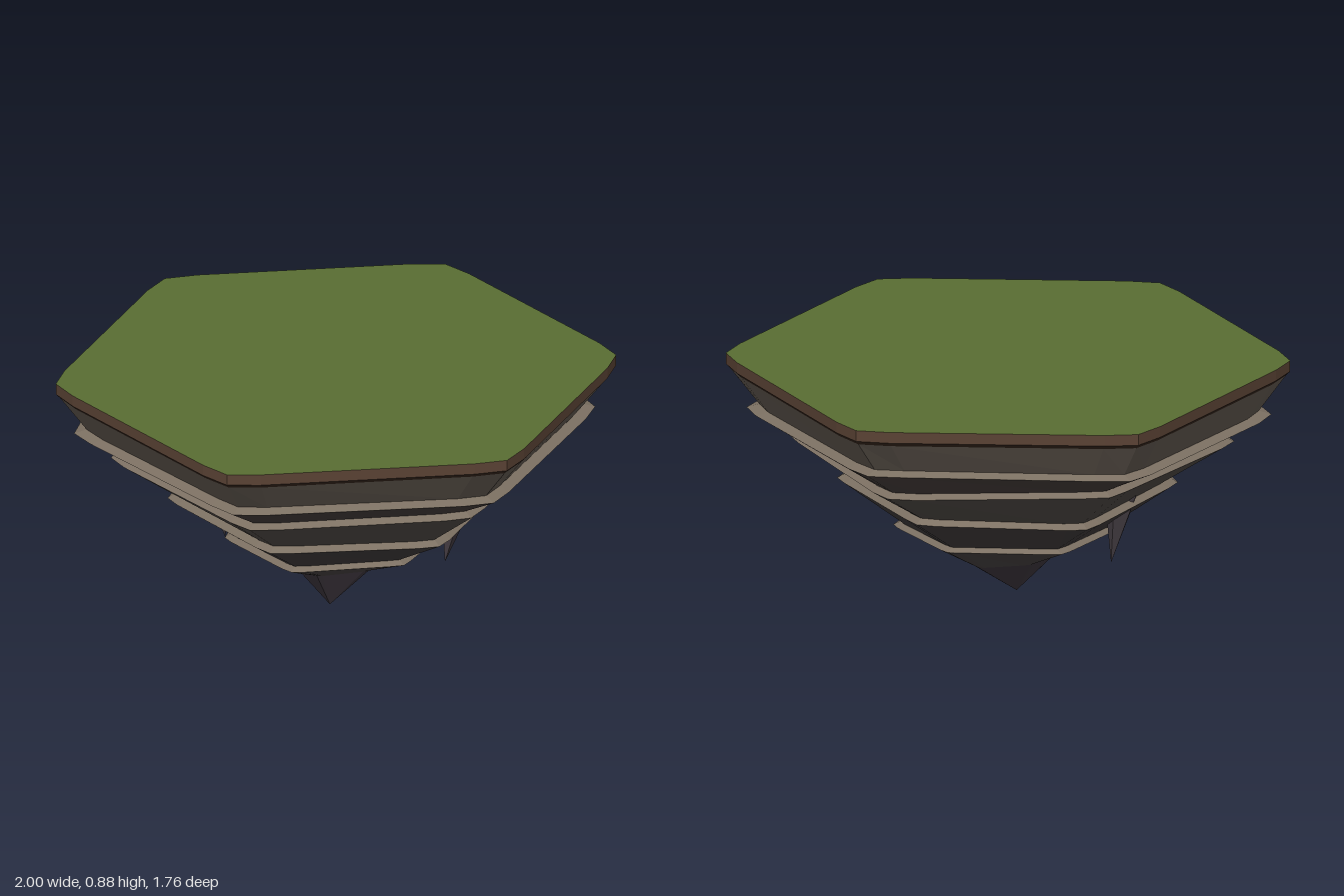
import * as THREE from 'three';

// Hexagon outline with softened corners: three points per corner.
const OUTLINE = [];
for (let k = 0; k < 6; k++) {
  for (const [r, a] of [[0.961, -0.115], [1, 0], [0.961, 0.115]]) {
    OUTLINE.push([r, a + k * Math.PI / 3]);
  }
}

// One ring of points; wobble gives weathered rock a gentle irregularity.
function ring(radius, y, dx = 0, dz = 0, wobble = 0, phase = 0) {
  return OUTLINE.map(([r, a]) => {
    const s = radius * r * (1 + wobble * Math.sin(3 * a + phase * 1.7));
    return new THREE.Vector3(
      s * Math.cos(a) + dx,
      y + 0.5 * wobble * Math.sin(2 * a + phase * 2.3),
      s * Math.sin(a) + dz
    );
  });
}

// Skin between successive rings, listed from top to bottom.
function loft(name, color, rings) {
  const pos = [];
  const tri = (a, b, c) => {
    if (a.distanceTo(b) > 1e-6 && b.distanceTo(c) > 1e-6 && c.distanceTo(a) > 1e-6) {
      for (const p of [a, b, c]) pos.push(p.x, p.y, p.z);
    }
  };
  for (let k = 0; k + 1 < rings.length; k++) {
    const a = rings[k], b = rings[k + 1], n = a.length;
    for (let i = 0; i < n; i++) {
      const j = (i + 1) % n;
      tri(a[i], a[j], b[i]);
      tri(a[j], b[j], b[i]);
    }
  }
  const geometry = new THREE.BufferGeometry();
  geometry.setAttribute('position', new THREE.Float32BufferAttribute(pos, 3));
  geometry.computeVertexNormals();
  const mesh = new THREE.Mesh(geometry, new THREE.MeshStandardMaterial({ color, flatShading: true }));
  mesh.name = name;
  return mesh;
}

// Leaning stone spike: a five-sided cone sheared from its root to its tip.
function spike(root, tip, radius) {
  const height = root[1] - tip[1];
  const geometry = new THREE.CylinderGeometry(radius, 0, height, 5);
  const p = geometry.attributes.position;
  for (let i = 0; i < p.count; i++) {
    const t = p.getY(i) / height + 0.5;
    p.setXYZ(
      i,
      p.getX(i) + THREE.MathUtils.lerp(tip[0], root[0], t),
      tip[1] + t * height,
      p.getZ(i) + THREE.MathUtils.lerp(tip[2], root[2], t)
    );
  }
  geometry.computeVertexNormals();
  const mesh = new THREE.Mesh(geometry, new THREE.MeshStandardMaterial({ color: 0x4a4248, flatShading: true }));
  mesh.name = 'hangingSpike';
  return mesh;
}

export function createModel() {
  const island = new THREE.Group();
  island.name = 'floatingIsland';

  // Grass cap and soil rim
  const top = ring(1, 0.885), soilBase = ring(1, 0.845), soilUnder = ring(0.985, 0.83);
  island.add(loft('grassTop', 0x5a6e33, [ring(0, 0.885), top]));
  island.add(loft('soilRim', 0x5a4234, [top, soilBase]));
  island.add(loft('soilUnderside', 0x3a2a20, [soilBase, soilUnder]));

  // Stepped rock tiers: wall foot radius and height, then the ledge lip below it
  const tiers = [
    { foot: [0.885, 0.705], lip: [0.93, 0.692], dx: -0.008, dz: 0, color: 0x6e645a },
    { foot: [0.755, 0.598], lip: [0.788, 0.583], dx: -0.008, dz: 0, color: 0x4c4340 },
    { foot: [0.575, 0.437], lip: [0.604, 0.42], dx: 0.006, dz: 0.003, color: 0x57514c },
    { foot: [0.375, 0.275], lip: [0.402, 0.262], dx: 0, dz: 0, color: 0x464141 },
  ];
  let upper = soilUnder;
  tiers.forEach(({ foot, lip, dx, dz, color }, i) => {
    const footRing = ring(...foot, dx, dz, 0.013, i);
    const lipRing = ring(...lip, dx, dz, 0.013, i);
    island.add(loft('rockTier', color, [upper, footRing]));
    island.add(loft('rockLedge', 0x7d7163, [footRing, lipRing]));
    upper = lipRing;
  });

  // Lowest rock and pointed tip
  const collar = ring(0.185, 0.165, -0.008, -0.01, 0.02, 4);
  island.add(loft('lowestRock', 0x4e4848, [upper, collar]));
  island.add(loft('rockTip', 0x443c44, [collar, ring(0, 0, 0.03, 0.05)]));

  // Spikes hanging from the lower tiers
  island.add(spike([-0.385, 0.47, 0.26], [-0.335, 0.18, 0.237], 0.07));
  island.add(spike([0.445, 0.48, -0.195], [0.413, 0.24, -0.17], 0.065));

  return island;
}
